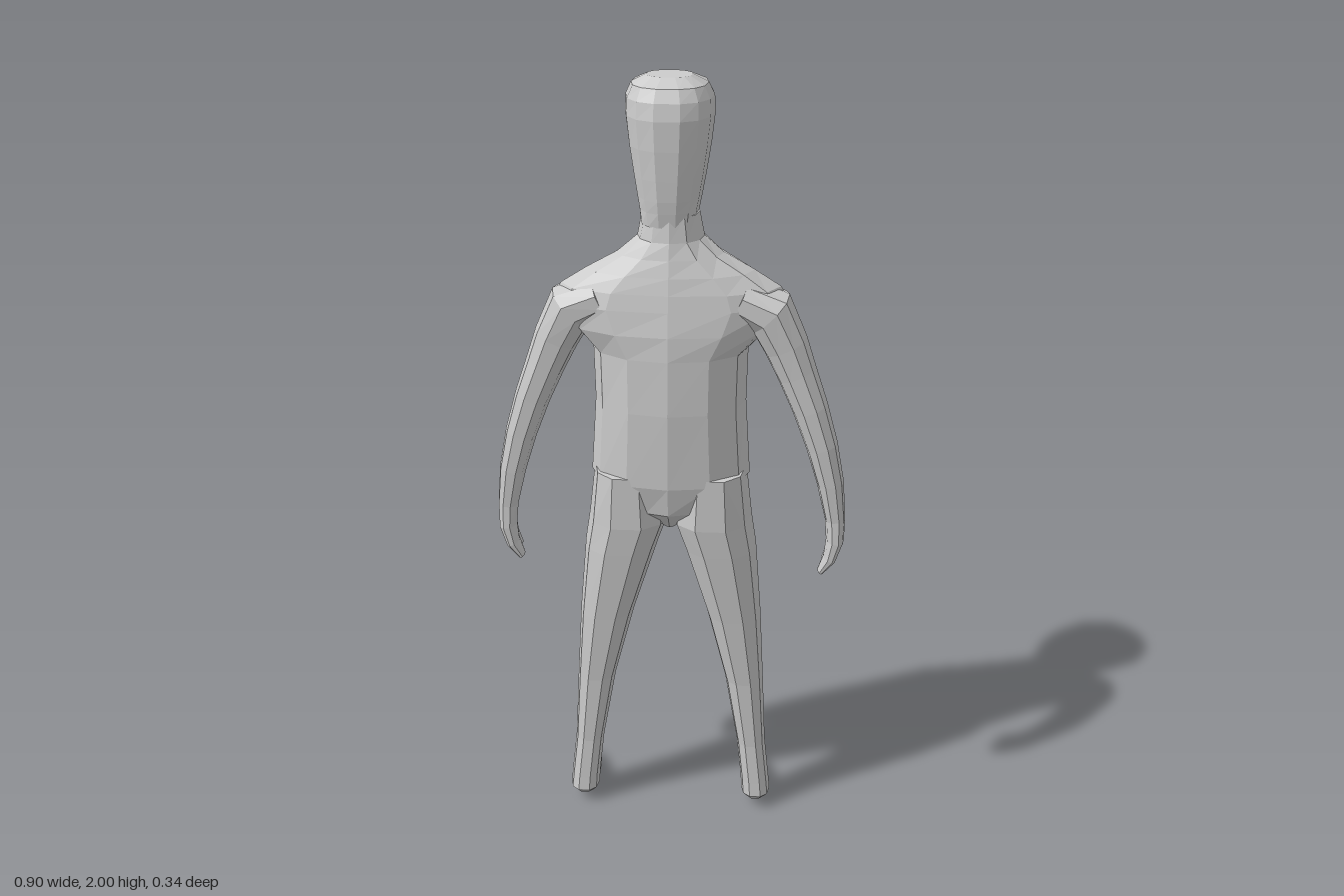
import * as THREE from 'three';

const material = new THREE.MeshStandardMaterial({ color: 0xcccccc, flatShading: true });
const V = (x, y, z) => new THREE.Vector3(x, y, z);

// Superellipse ring around a centre, spanned by the half-axes u and v.
function ring(c, u, v, n, p = 2) {
  const pow = (t) => Math.sign(t) * Math.abs(t) ** (2 / p);
  return Array.from({ length: n }, (_, i) => {
    const a = (i / n) * Math.PI * 2;
    return c.clone().addScaledVector(u, pow(Math.cos(a))).addScaledVector(v, pow(Math.sin(a)));
  });
}

// Closed skin over a row of rings, turned so that it faces outwards.
function loft(name, rings) {
  const n = rings[0].length, last = rings.length - 1;
  const pts = rings.flat();
  const middle = (r) => r.reduce((s, p) => s.add(p), V(0, 0, 0)).divideScalar(n);
  const start = pts.push(middle(rings[0])) - 1;
  const end = pts.push(middle(rings[last])) - 1;
  const tris = [];
  for (let j = 0; j < n; j++) {
    const k = (j + 1) % n;
    for (let i = 0; i < last; i++) {
      const a = i * n + j, b = i * n + k;
      tris.push([a, a + n, b], [b, a + n, b + n]);
    }
    tris.push([start, j, k], [end, last * n + k, last * n + j]);
  }
  const volume = tris.reduce((s, [a, b, c]) => s + pts[a].dot(V(0, 0, 0).crossVectors(pts[b], pts[c])), 0);
  if (volume < 0) tris.forEach((t) => t.reverse());
  const indexed = new THREE.BufferGeometry().setFromPoints(pts);
  indexed.setIndex(tris.flat());
  const geometry = indexed.toNonIndexed();
  geometry.computeVertexNormals();
  const mesh = new THREE.Mesh(geometry, material);
  mesh.name = name;
  return mesh;
}

// Horizontal slices: [y, x from, x to, z from, z to].
const slices = (name, rows, n, p) => loft(name, rows.map(([y, x0, x1, z0, z1]) =>
  ring(V((x0 + x1) / 2, y, (z0 + z1) / 2), V((x1 - x0) / 2, 0, 0), V(0, 0, (z1 - z0) / 2), n, p)));

// Limb along a path in x and y: [x, y, z, half width, half depth].
function limb(name, rows, n) {
  return loft(name, rows.map(([x, y, z, w, d], i) => {
    const a = rows[Math.max(i - 1, 0)], b = rows[Math.min(i + 1, rows.length - 1)];
    const across = V(b[1] - a[1], a[0] - b[0], 0).normalize().multiplyScalar(w);
    return ring(V(x, y, z), across, V(0, 0, d), n, 2.3);
  }));
}

export function createModel() {
  const model = new THREE.Group();
  model.name = 'standingFigure';

  // Torso from the crotch over the shoulders into the neck: [y, half width, z from, z to]
  const torso = [
    [0.86, 0.02, -0.02, 0.09], [0.92, 0.11, -0.08, 0.15], [1.0, 0.203, -0.095, 0.165],
    [1.2, 0.19, -0.1, 0.17], [1.34, 0.193, -0.092, 0.165], [1.4, 0.25, -0.08, 0.16],
    [1.46, 0.292, -0.07, 0.148], [1.5, 0.27, -0.062, 0.14], [1.54, 0.205, -0.06, 0.13],
    [1.58, 0.13, -0.06, 0.118], [1.62, 0.082, -0.06, 0.107], [1.68, 0.07, -0.056, 0.1],
  ];
  model.add(slices('torso', torso.map(([y, w, z0, z1]) => [y, -w, w, z0, z1]), 12, 2.1));

  // Head with the jaw reaching towards -z
  const head = [
    [1.655, 0.068, -0.05, 0.1], [1.69, 0.074, -0.105, 0.106], [1.72, 0.08, -0.14, 0.11],
    [1.77, 0.089, -0.16, 0.113], [1.84, 0.1, -0.168, 0.116], [1.91, 0.108, -0.17, 0.116],
    [1.95, 0.106, -0.152, 0.108], [1.98, 0.092, -0.115, 0.09], [2.0, 0.055, -0.05, 0.05],
  ];
  model.add(slices('head', head.map(([y, w, z0, z1]) => [y, -w - 0.005, w - 0.005, z0, z1]), 14, 2.4));

  for (const [side, s] of [['left', 1], ['right', -1]]) {
    // The pose is slightly uneven: shift the left limbs out and back
    const legShift = s * 0.012, armShift = s * 0.02;

    // Leg: [y, inner x, outer x, z from, z to]
    const leg = [
      [1.02, 0.02, 0.195, -0.085, 0.155], [0.88, 0, 0.207, -0.085, 0.157],
      [0.8, 0.026, 0.217, -0.08, 0.15], [0.6, 0.085, 0.228, -0.04, 0.13],
      [0.4, 0.137, 0.239, -0.005, 0.112], [0.2, 0.172, 0.249, 0.01, 0.105],
      [0.08, 0.185, 0.262, 0.013, 0.11], [0.04, 0.187, 0.266, 0.01, 0.112],
      [0.022, 0.2, 0.253, 0.02, 0.095],
    ];
    const shiftAt = (y) => legShift * Math.min(1, (1.02 - y) / 0.4);
    model.add(slices(side + 'Leg', leg.map(([y, a, b, z0, z1]) =>
      [y, s * a + shiftAt(y), s * b + shiftAt(y), z0, z1]), 10, 2.4));

    // Foot from heel to toe: [z, low y, high y, half width]
    const foot = [
      [0.1, 0.03, 0.07, 0.026], [0.06, 0.018, 0.085, 0.037], [0.01, 0.013, 0.072, 0.036],
      [-0.04, 0.008, 0.053, 0.034], [-0.09, 0.003, 0.037, 0.027], [-0.125, 0, 0.02, 0.012],
    ];
    model.add(loft(side + 'Foot', foot.map(([z, y0, y1, w]) =>
      ring(V(s * 0.226 + legShift, (y0 + y1) / 2, z), V(w, 0, 0), V(0, (y1 - y0) / 2, 0), 8, 2.3))));

    // Arm curving down to the fingertips
    const arm = [
      [0.17, 1.475, 0.045, 0.05, 0.085], [0.245, 1.44, 0.048, 0.065, 0.08],
      [0.285, 1.36, 0.052, 0.056, 0.068], [0.314, 1.29, 0.056, 0.05, 0.06],
      [0.35, 1.2, 0.06, 0.045, 0.054], [0.383, 1.1, 0.063, 0.04, 0.048],
      [0.408, 1.0, 0.066, 0.034, 0.042], [0.424, 0.9, 0.067, 0.026, 0.036],
      [0.426, 0.84, 0.07, 0.023, 0.037], [0.414, 0.79, 0.076, 0.017, 0.03],
      [0.391, 0.752, 0.08, 0.008, 0.018],
    ];
    const place = ([x, y, z, w, d]) => [s * x, y, z + armShift * Math.min(1, (x - 0.17) / 0.2), w, d];
    model.add(limb(side + 'Arm', arm.map(place), 10));

    // Thumb in front of the fingers
    const thumb = [
      [0.425, 0.86, 0.048, 0.013, 0.014], [0.418, 0.805, 0.039, 0.013, 0.012],
      [0.4, 0.765, 0.036, 0.007, 0.007],
    ];
    model.add(limb(side + 'Thumb', thumb.map(place), 6));
  }
  return model;
}
